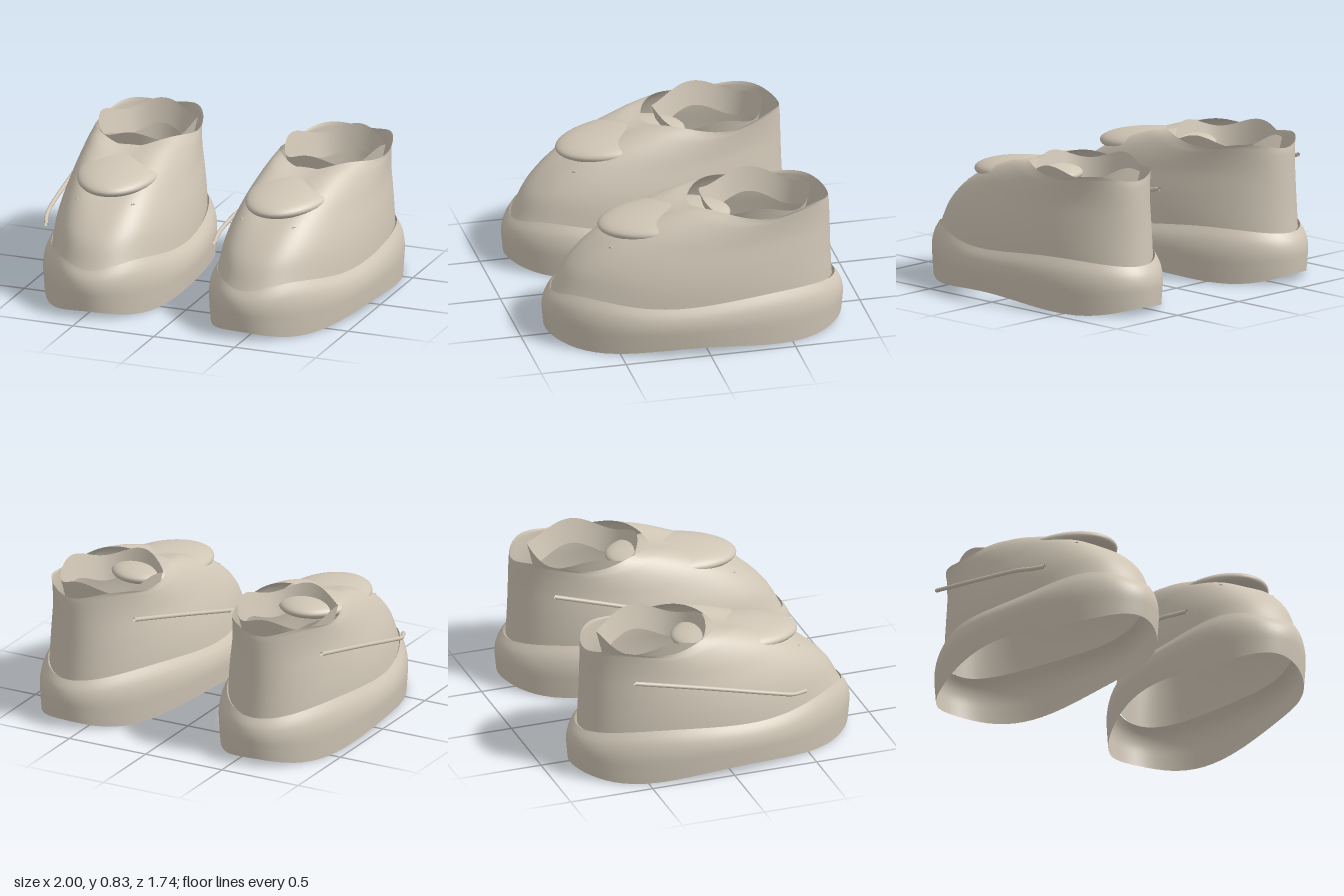
import * as THREE from 'three';

const stone = new THREE.MeshStandardMaterial({ color: 0xd0c6b6, side: THREE.DoubleSide });
stone.name = 'stone';

const SEGMENTS = 72;

// Closed-ring surface: point(level, angle) gives [x, y, z]; angle 0 is the toe.
function loft(levels, point) {
  const positions = [], index = [];
  for (let i = 0; i <= levels; i++) {
    for (let j = 0; j < SEGMENTS; j++) {
      let angle = (j / SEGMENTS) * Math.PI * 2;
      if (angle > Math.PI) angle -= Math.PI * 2;
      positions.push(...point(i / levels, angle));
    }
  }
  for (let i = 0; i < levels; i++) {
    for (let j = 0; j < SEGMENTS; j++) {
      const k = (j + 1) % SEGMENTS;
      const a = i * SEGMENTS + j, b = i * SEGMENTS + k;
      const c = b + SEGMENTS, d = a + SEGMENTS;
      index.push(a, b, c, a, c, d);
    }
  }
  const g = new THREE.BufferGeometry();
  g.setAttribute('position', new THREE.Float32BufferAttribute(positions, 3));
  g.setIndex(index);
  g.computeVertexNormals();
  return g;
}

const lerp = THREE.MathUtils.lerp;
const soleTop = (a) => 0.3 - 0.02 * Math.cos(4 * Math.abs(a) + 1.05 * Math.sin(Math.abs(a)));
const soleBottom = (a) => 0.0225 * (1 + Math.cos(4 * a));

// Sole wall: height fraction and inset
function soleGeometry() {
  const profile = new THREE.SplineCurve([
    [0, 0.01], [0.25, 0.004], [0.55, 0], [0.8, 0.015], [1, 0.048],
  ].map((p) => new THREE.Vector2(...p)));
  return loft(14, (t, a) => {
    const p = profile.getPoint(t);
    return [
      (0.45 - p.y) * Math.sin(a),
      lerp(soleBottom(a), soleTop(a), p.x),
      (0.872 - p.y) * Math.cos(a),
    ];
  });
}

// Upper: each section holds height, front z, back z and half width
function upperGeometry() {
  const sections = [
    [0.29, 0.818, -0.808, 0.396],
    [0.45, 0.725, -0.80, 0.378],
    [0.62, 0.52, -0.795, 0.338],
    [0.755, 0.19, -0.79, 0.308],
    [0.79, 0.03, -0.785, 0.30],
  ];
  const bend = new THREE.CatmullRomCurve3(sections.map((s) => new THREE.Vector3(s[0], s[1], s[2])));
  const width = new THREE.SplineCurve(sections.map((s) => new THREE.Vector2(s[0], s[3])));
  return loft(24, (t, a) => {
    const p = bend.getPoint(t);
    const wave = lerp(soleTop(a) - 0.3, -0.018 * Math.cos(4 * a), t);
    return [
      width.getPoint(t).y * Math.sin(a),
      p.x + wave,
      (p.y + p.z) / 2 + ((p.y - p.z) / 2) * Math.cos(a),
    ];
  });
}

// Wavy ring set inside the ankle opening
function collarGeometry() {
  return loft(5, (t, a) => [
    lerp(0.248, 0.281, t) * Math.sin(a),
    lerp(0.66, 0.802, t) + 0.028 * Math.cos(4 * a),
    -0.36 + lerp(0.285, 0.32, t) * Math.cos(a),
  ]);
}

// Lace hanging along one side, hooked in at its front end
const lacePath = new THREE.CatmullRomCurve3([
  [-0.323, 0.65, -0.61], [-0.365, 0.54, -0.15], [-0.4, 0.44, 0.25],
  [-0.395, 0.41, 0.36], [-0.366, 0.4, 0.45],
].map((p) => new THREE.Vector3(...p)));

const geometries = {
  sole: soleGeometry(),
  upper: upperGeometry(),
  collar: collarGeometry(),
  tongue: new THREE.SphereGeometry(1, 48, 32),
  lace: new THREE.TubeGeometry(lacePath, 40, 0.012, 10),
  eyelet: new THREE.TorusGeometry(0.011, 0.005, 8, 16),
};

function add(parent, name) {
  const mesh = new THREE.Mesh(geometries[name], stone);
  mesh.name = name;
  parent.add(mesh);
  return mesh;
}

function createShoe(name) {
  const shoe = new THREE.Group();
  shoe.name = name;
  ['sole', 'upper', 'collar', 'lace'].forEach((part) => add(shoe, part));

  // Padded tongue pushing through the upper
  const tongue = add(shoe, 'tongue');
  tongue.scale.set(0.243, 0.075, 0.386);
  tongue.position.set(0, 0.677, 0.165);
  tongue.rotation.x = 0.06;

  for (const side of [-1, 1]) {
    const eyelet = add(shoe, 'eyelet');
    eyelet.position.set(side * 0.168, 0.582, 0.497);
    eyelet.rotation.y = side * Math.PI / 4;
  }
  return shoe;
}

export function createModel() {
  const pair = new THREE.Group();
  pair.name = 'shoes';
  // Both shoes turn slightly toe-in
  for (const side of [-1, 1]) {
    const shoe = createShoe(side < 0 ? 'rightShoe' : 'leftShoe');
    shoe.position.x = side * 0.546;
    shoe.rotation.y = -side * 0.087;
    pair.add(shoe);
  }
  return pair;
}
